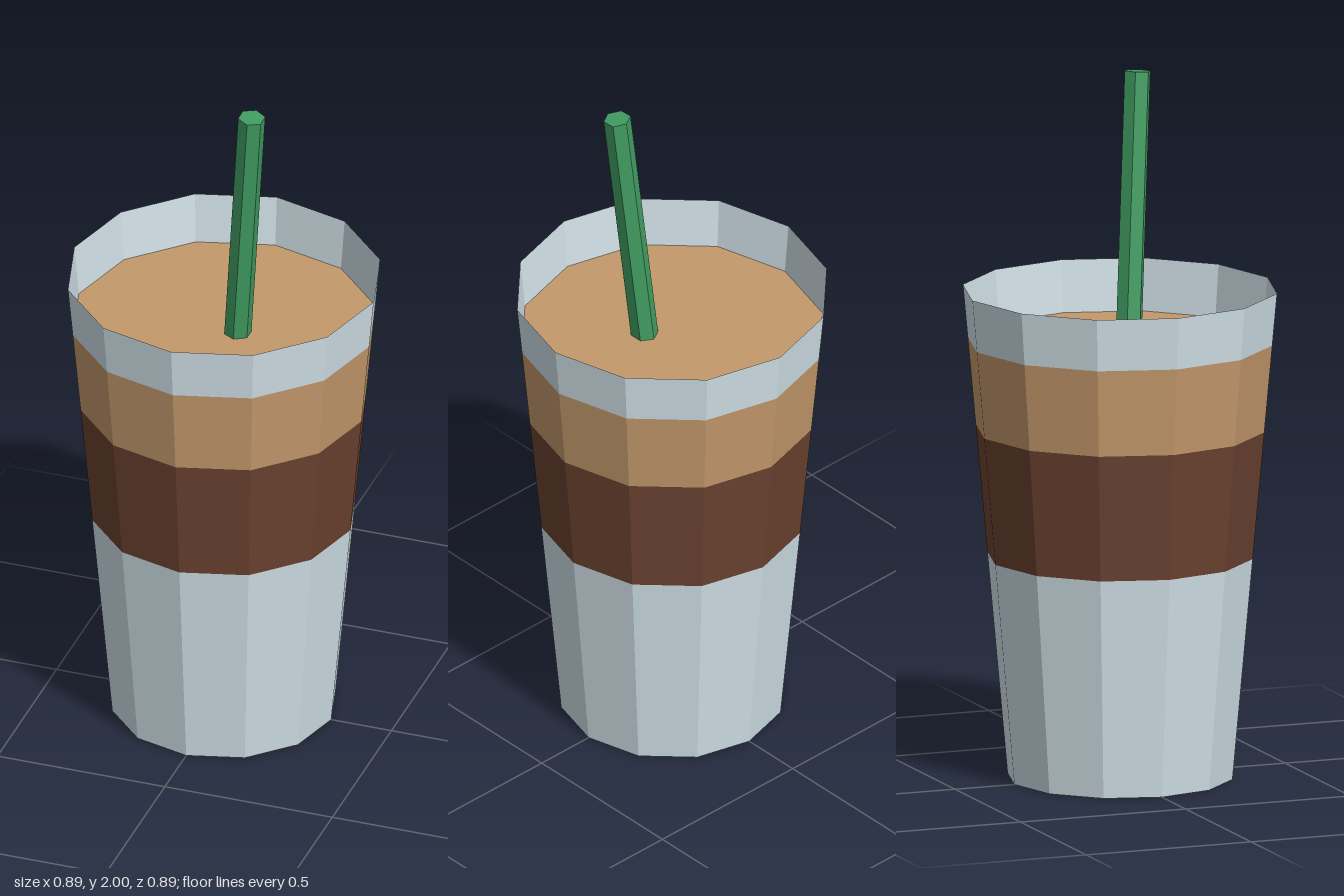
import * as THREE from 'three';

const SIDES = 12;
const HEIGHT = 1.4;
const wallRadius = (y) => THREE.MathUtils.lerp(0.32, 0.447, y / HEIGHT);

function material(color, side = THREE.FrontSide) {
  return new THREE.MeshStandardMaterial({ color, flatShading: true, side });
}

// Ring of the tapered cup wall between two heights
function wallBand(name, y0, y1, mat) {
  const geometry = new THREE.CylinderGeometry(wallRadius(y1), wallRadius(y0), y1 - y0, SIDES, 1, true);
  const mesh = new THREE.Mesh(geometry, mat);
  mesh.name = name;
  mesh.position.y = (y0 + y1) / 2;
  return mesh;
}

// Flat disc closing the cup at a height, facing up or down
function disc(name, y, mat, facing) {
  const geometry = new THREE.CircleGeometry(wallRadius(y), SIDES);
  geometry.rotateX(-facing * Math.PI / 2);
  const mesh = new THREE.Mesh(geometry, mat);
  mesh.name = name;
  mesh.position.y = y;
  return mesh;
}

export function createModel() {
  const model = new THREE.Group();
  model.name = 'icedDrink';

  const cup = material(0xd0e0e7, THREE.DoubleSide);
  const sleeve = material(0x6b4230);
  const drink = material(0xc4996c);
  const green = material(0x409c61);

  // Cup, sleeve and drink share one tapered wall
  model.add(
    disc('cupBase', 0, cup, -1),
    wallBand('cupLower', 0, 0.635, cup),
    wallBand('sleeve', 0.635, 1.0, sleeve),
    wallBand('drinkBand', 1.0, 1.25, drink),
    disc('drinkSurface', 1.25, drink, 1),
    wallBand('cupRim', 1.25, HEIGHT, cup)
  );

  // Leaning six-sided straw, reaching down into the drink
  const top = new THREE.Vector3(0.118, 1.997, 0.1);
  const foot = new THREE.Vector3(0.0, 0.5, 0.0);
  const axis = top.clone().sub(foot);
  const straw = new THREE.Mesh(new THREE.CylinderGeometry(0.039, 0.039, axis.length(), 6), green);
  straw.name = 'straw';
  straw.position.copy(foot).add(top).multiplyScalar(0.5);
  straw.quaternion.setFromUnitVectors(new THREE.Vector3(0, 1, 0), axis.normalize());
  model.add(straw);

  return model;
}
